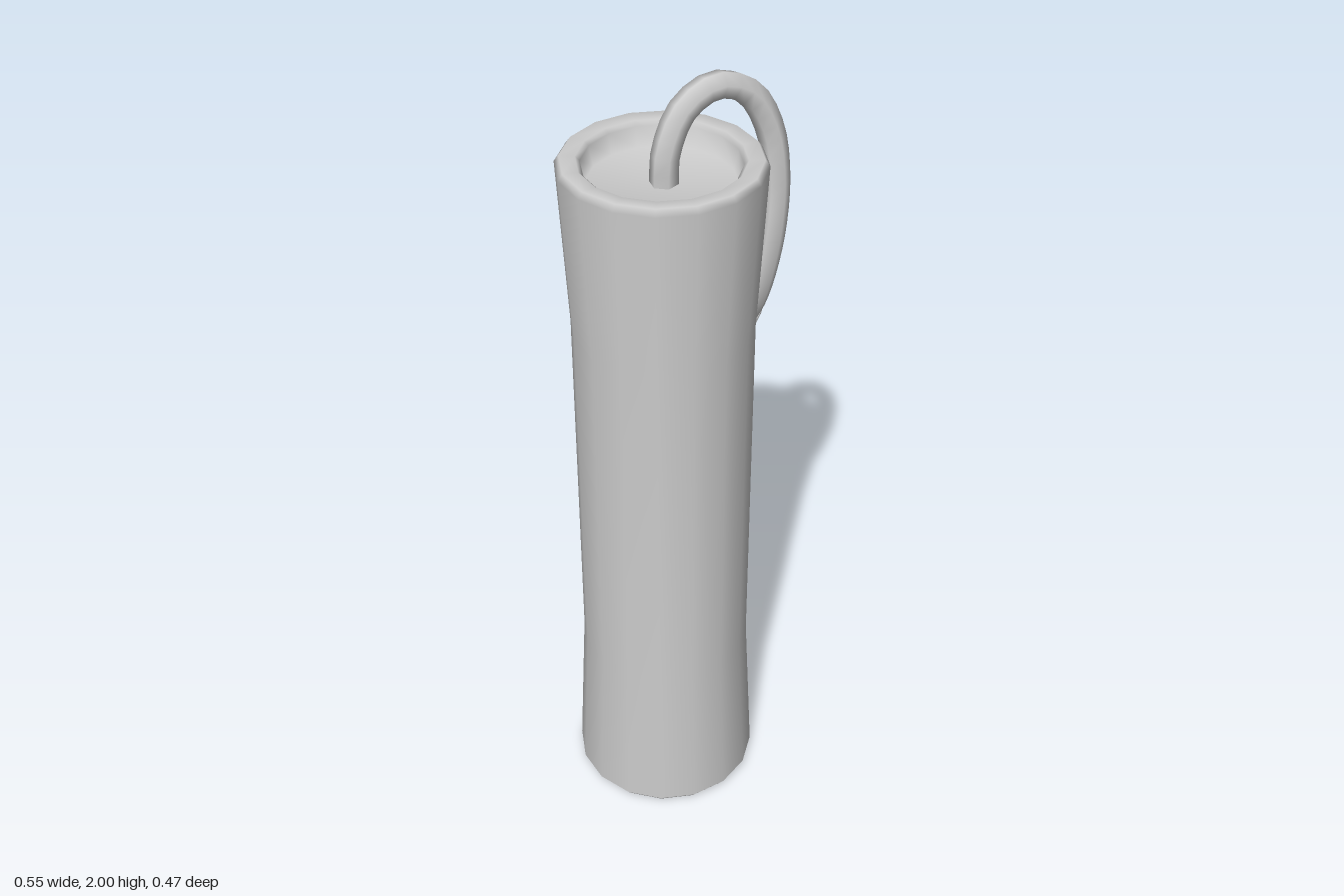
import * as THREE from 'three';

const SIDES = 16;
const AXIS_X = -0.043; // the stick stands off centre to leave room for the fuse

export function createModel() {
  const model = new THREE.Group();
  model.name = 'fusedStick';
  const material = new THREE.MeshStandardMaterial({ color: 0xcccccc });

  const add = (name, geometry) => {
    const mesh = new THREE.Mesh(geometry, material);
    mesh.name = name;
    model.add(mesh);
    return mesh;
  };
  const lathe = (points, sides) =>
    new THREE.LatheGeometry(points.map(([r, y]) => new THREE.Vector2(r, y)), sides);

  // Casing: flared at both ends, softened rims, shallow recess top and bottom
  const casing = lathe([
    [0, 0.06], [0.17, 0.06], [0.18, 0.012], [0.19, 0.002], [0.226, 0],
    [0.237, 0.015], [0.216, 0.44], [0.216, 1.4], [0.237, 1.815],
    [0.226, 1.83], [0.19, 1.828], [0.18, 1.818], [0.17, 1.77], [0, 1.77],
  ], SIDES);
  add('casing', casing).position.x = AXIS_X;

  // Fuse: rises from the recess, arches over the rim and hangs down the side
  const path = new THREE.CatmullRomCurve3([
    [-0.04, 1.76, 0.005], [-0.035, 1.84, 0.002], [0.01, 1.93, -0.012],
    [0.09, 1.967, -0.028], [0.175, 1.93, -0.04], [0.225, 1.84, -0.039],
    [0.242, 1.72, -0.031], [0.236, 1.58, -0.028], [0.22, 1.45, -0.042],
    [0.21, 1.37, -0.066], [0.206, 1.325, -0.09],
  ].map((p) => new THREE.Vector3(...p)));
  add('fuse', new THREE.TubeGeometry(path, 28, 0.033, 6, false));

  // Fuse tip: slightly swollen, closed end
  const tip = add('fuseTip', lathe([
    [0, 0.024], [0.03, 0.022], [0.037, 0.008], [0.033, -0.02], [0, -0.022],
  ].reverse(), 6));
  tip.position.copy(path.getPoint(1));
  tip.quaternion.setFromUnitVectors(new THREE.Vector3(0, 1, 0), path.getTangent(1));

  return model;
}
